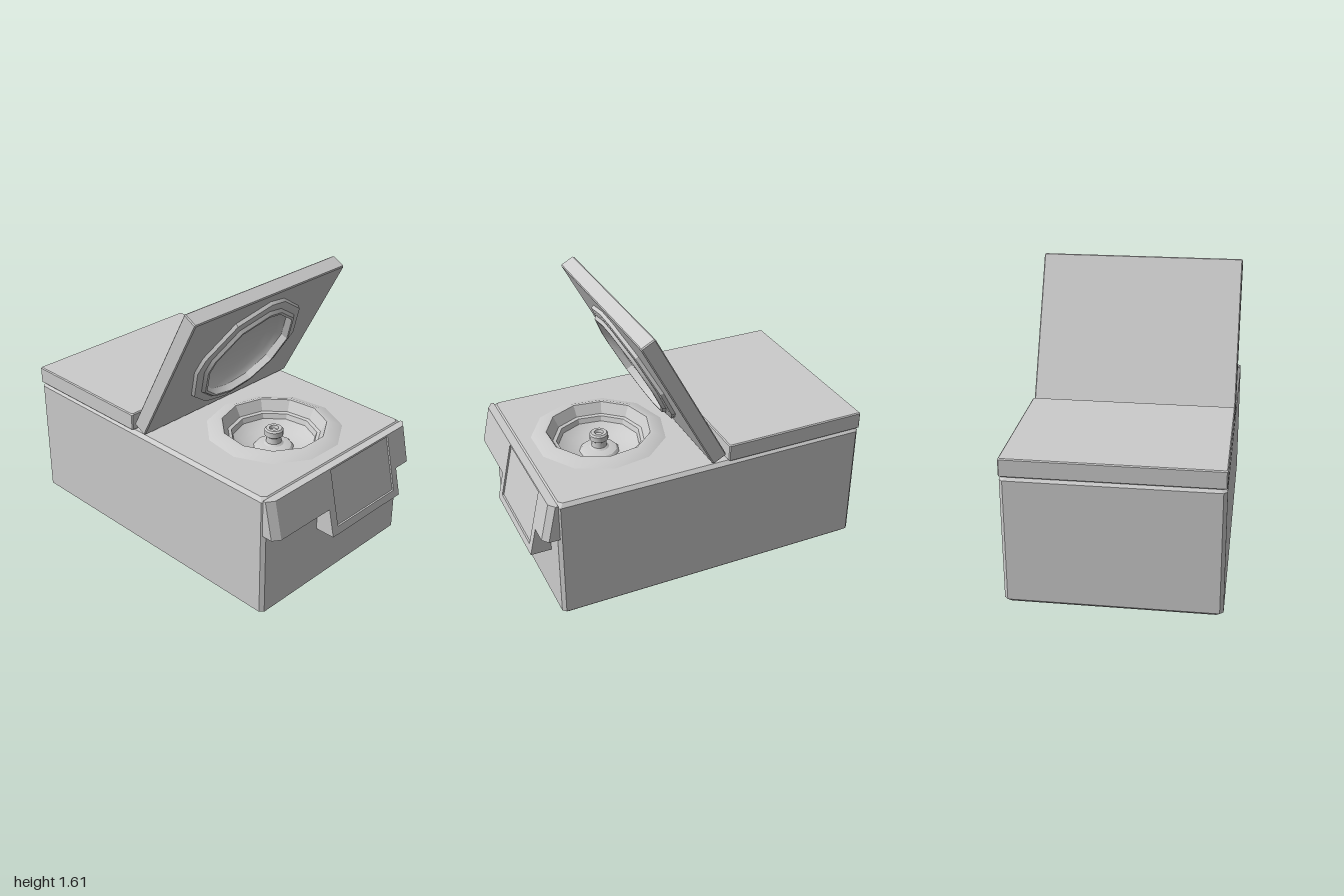
import * as THREE from 'three';
import { toCreasedNormals } from 'three/addons/utils/BufferGeometryUtils.js';

const material = new THREE.MeshStandardMaterial({ color: 0xcccccc });

function mesh(name, geometry, parent) {
  const m = new THREE.Mesh(geometry, material);
  m.name = name;
  parent.add(m);
  return m;
}

// Skin closed rings of [x, y, z] points, with optional end caps
function loft(rings, { start = false, end = false, crease = 0.5 } = {}) {
  const n = rings[0].length, pos = rings.flat(2), index = [];
  for (let j = 0; j < rings.length - 1; j++) {
    for (let i = 0; i < n; i++) {
      const a = j * n + i, b = j * n + (i + 1) % n;
      index.push(a, b, b + n, a, b + n, a + n);
    }
  }
  const cap = (base, flip) => {
    for (let i = 1; i < n - 1; i++) {
      index.push(base, base + (flip ? i + 1 : i), base + (flip ? i : i + 1));
    }
  };
  if (start) cap(0, true);
  if (end) cap((rings.length - 1) * n, false);
  const g = new THREE.BufferGeometry();
  g.setAttribute('position', new THREE.Float32BufferAttribute(pos, 3));
  g.setIndex(index);
  return toCreasedNormals(g.toNonIndexed(), crease);
}

// Chamfer-cornered rectangle in plan
function rect(w, z0, z1, y, inset, c) {
  const x = w - inset, a = z0 + inset, b = z1 - inset;
  return [[x, b - c], [x, a + c], [x - c, a], [c - x, a], [-x, a + c], [-x, b - c], [c - x, b], [x - c, b]]
    .map(([px, pz]) => [px, y, pz]);
}

// Block with bevelled edges
function block(w, z0, z1, y0, y1, bevel, closed) {
  return loft([
    rect(w, z0, z1, y0, bevel, bevel), rect(w, z0, z1, y0 + bevel, 0, bevel),
    rect(w, z0, z1, y1 - bevel, 0, bevel), rect(w, z0, z1, y1, bevel, bevel),
  ], { start: true, end: closed });
}

// Flat face on top of a block, pierced by a polygonal opening
function piercedFace(w, z0, z1, y, bevel, angles, r, cz) {
  const shape = new THREE.Shape(rect(w, z0, z1, y, bevel, bevel).map((p) => new THREE.Vector2(p[0], -p[2])));
  shape.holes.push(new THREE.Path(angles.map((t) => new THREE.Vector2(r * Math.cos(t), r * Math.sin(t) - cz))));
  return new THREE.ShapeGeometry(shape).rotateX(-Math.PI / 2).translate(0, y, 0);
}

// Faceted dish from a [radius, height] profile
function dish(profile, angles, cz, crease) {
  return loft(profile.map(([r, y]) => angles.map((t) => [r * Math.cos(t), y, cz - r * Math.sin(t)])), { crease });
}

// Front of the apron leans outward toward its lower edge
const apronZ = (y) => 0.915 + (0.75 - y) * 0.218;

function apronWing(name, sections, parent) {
  const top = 0.745, bottom = 0.525;
  const rings = sections.map(([x, back]) => [
    [x, top, 0.87], [x, top, apronZ(top) - back],
    [x, bottom, apronZ(bottom) - back], [x, bottom, 0.87],
  ]);
  mesh(name, loft(rings, { start: true, end: true }), parent);
}

// Extruded outline whose front follows the lean of the apron
function leaningPlate(shape, backZ, recess) {
  const g = new THREE.ExtrudeGeometry(shape, { depth: 1, bevelEnabled: false });
  const p = g.attributes.position;
  for (let i = 0; i < p.count; i++) {
    const front = apronZ(p.getY(i)) - recess;
    p.setZ(i, p.getZ(i) > 0.5 ? front : backZ ?? front - 0.02);
  }
  return toCreasedNormals(g, 0.1);
}

function rectPath(Type, x0, x1, y0, y1) {
  return new Type([[x0, y0], [x1, y0], [x1, y1], [x0, y1]].map(([x, y]) => new THREE.Vector2(x, y)));
}

export function createModel() {
  const model = new THREE.Group();
  model.name = 'hingedBox';
  const W = 0.593, cz = 0.41;
  const basinAngles = Array.from({ length: 11 }, (_, i) => Math.PI / 2 + (i * Math.PI * 2) / 11);
  const lidAngles = [0, 37, 73, 90, 126, 164, 180, 217, 244, 270, 298, 328].map(THREE.MathUtils.degToRad);

  // Main body with an opening for the basin
  mesh('body', block(W, -1, 0.88, 0, 0.75, 0.02, false), model);
  mesh('bodyTop', piercedFace(W, -1, 0.88, 0.75, 0.02, basinAngles, 0.395, cz), model);

  // Raised rim, stepped bowl and pedestal
  mesh('basin', dish([
    [0.395, 0.75], [0.325, 0.778], [0.305, 0.778], [0.27, 0.715], [0.25, 0.71], [0.24, 0.68],
    [0.18, 0.645], [0.118, 0.63], [0.105, 0.645], [0.07, 0.655], [0, 0.655],
  ], basinAngles, cz, 0.5), model);

  // Central spindle with a hollow tip
  const spindle = [[0.07, 0.645], [0.045, 0.665], [0.042, 0.7], [0.055, 0.71], [0.055, 0.742], [0.046, 0.752],
    [0.027, 0.752], [0.022, 0.735], [0, 0.735]].map(([r, y]) => new THREE.Vector2(r, y));
  mesh('spindle', toCreasedNormals(new THREE.LatheGeometry(spindle, 18), 0.6), model).position.z = cz;

  // Fixed cover over the rear half
  mesh('rearCover', block(W, -1, -0.14, 0.75, 0.855, 0.006, true), model);

  // Open lid, modelled face up and then tilted on its hinge
  const lid = new THREE.Group();
  lid.name = 'lid';
  lid.position.set(0, 1.165, 0.175);
  lid.rotation.x = THREE.MathUtils.degToRad(118);
  model.add(lid);
  mesh('lidPanel', block(W, -0.459, 0.459, -0.092, 0, 0.006, false), lid);
  mesh('lidFace', piercedFace(W, -0.459, 0.459, 0, 0.006, lidAngles, 0.4, 0), lid);
  mesh('lidRim', dish([
    [0.4, 0], [0.393, 0.02], [0.37, 0.024], [0.345, 0.024], [0.33, 0.042], [0.315, 0.042], [0.31, 0],
  ], lidAngles, 0, 0.5), lid);
  mesh('lidDome', dish([
    [0.31, 0], [0.285, -0.03], [0.23, -0.056], [0.15, -0.074], [0.07, -0.082], [0, -0.084],
  ], lidAngles, 0, 0.9), lid);

  // Leaning front apron with tapered ends
  apronWing('apronRight', [[-0.59, 0.03], [-0.545, 0], [-0.155, 0]], model);
  apronWing('apronLeft', [[0.445, 0], [0.55, 0], [0.587, 0.03]], model);

  // Off-centre tab: backing panel and a slightly raised frame
  mesh('tabPanel', leaningPlate(rectPath(THREE.Shape, -0.155, 0.445, 0.36, 0.745), 0.87, 0.01), model);
  const frame = rectPath(THREE.Shape, -0.155, 0.445, 0.36, 0.745);
  frame.holes.push(rectPath(THREE.Path, -0.105, 0.4, 0.405, 0.735));
  mesh('tabFrame', leaningPlate(frame, null, 0), model);

  return model;
}
